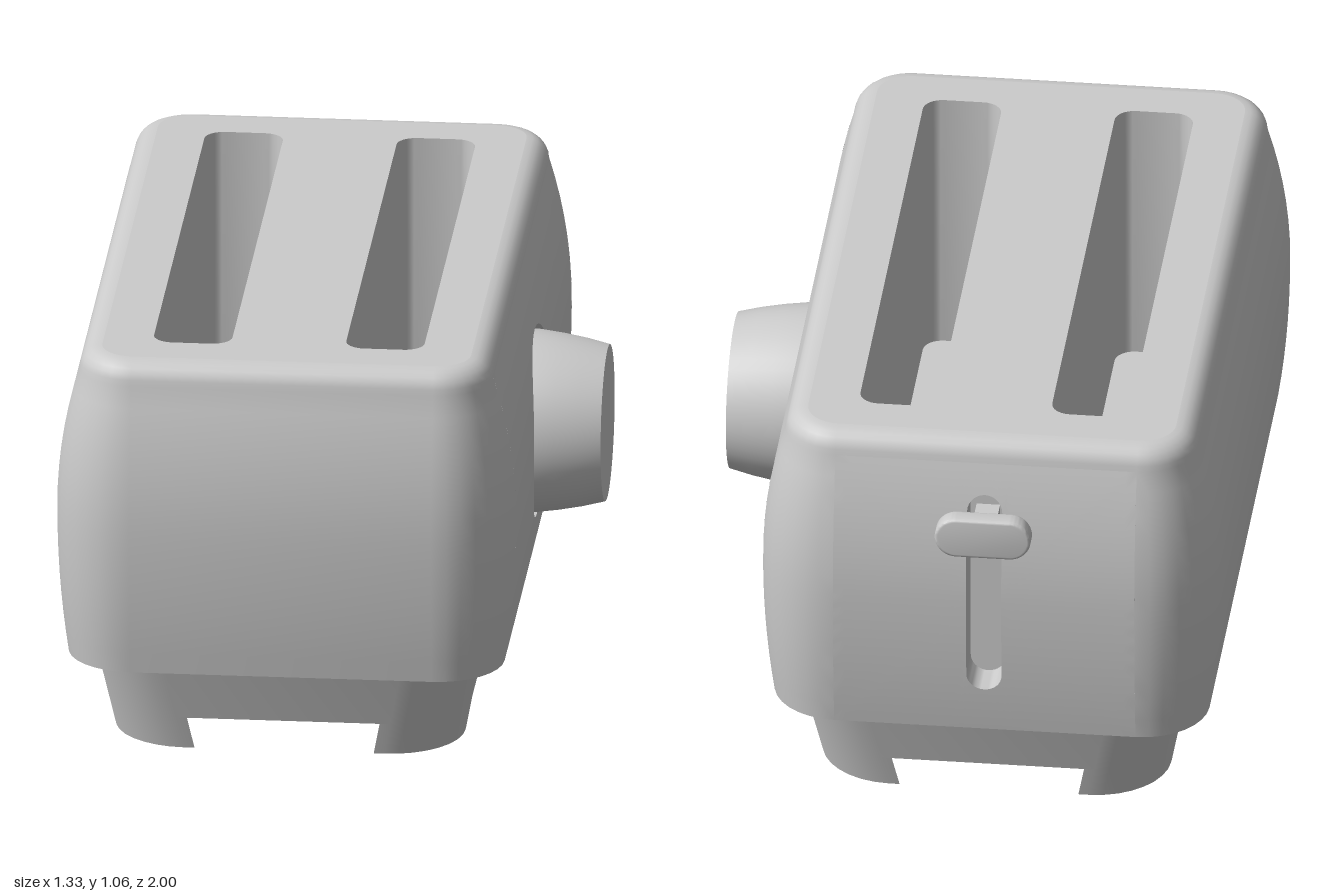
import * as THREE from 'three';
import { mergeGeometries, toCreasedNormals } from 'three/addons/utils/BufferGeometryUtils.js';

const HALF = Math.PI / 2;
const CX = 0.385, CZ = 0.785;          // corner centres of the body
const Y0 = 0.235, Y1 = 1.0, TOP = 1.06; // underside, start of rim, top
const material = new THREE.MeshStandardMaterial({ color: 0xcccccc, side: THREE.DoubleSide });

// Bulge of the body wall around its corner centres
const bulge = (y) => 0.2 - (y < 0.62 ? 0.2 : 0.4) * (y - 0.62) ** 2;

// Grid surface from f(i, j); faces look along di x dj
function surface(ni, nj, f) {
  const pos = [];
  for (let i = 0; i < ni; i++) {
    for (let j = 0; j < nj; j++) {
      const a = f(i, j), b = f(i + 1, j), c = f(i + 1, j + 1), d = f(i, j + 1);
      pos.push(...a, ...b, ...c, ...a, ...c, ...d);
    }
  }
  const g = new THREE.BufferGeometry();
  g.setAttribute('position', new THREE.Float32BufferAttribute(pos, 3));
  return g;
}

// Corners k0..k1 of a rounded rectangle: [centre sign x, z, direction x, z]
function path(k0, k1, extend = 0, steps = 8) {
  const out = [];
  for (let k = k0; k <= k1; k++) {
    const sx = k === 0 || k === 3 ? 1 : -1, sz = k < 2 ? 1 : -1;
    const add = (a, e) => out.push([sx, sz, Math.cos(a) - Math.sin(a) * e, Math.sin(a) + Math.cos(a) * e]);
    if (extend) add(k * HALF, -extend);
    for (let s = 0; s <= steps; s++) add((k + s / steps) * HALF, 0);
    if (extend) add((k + 1) * HALF, extend);
  }
  return out;
}
const closedPath = () => [...path(0, 3), path(0, 0)[0]];
const place = ([sx, sz, nx, nz], { y, cx = CX, cz = CZ, r }) => [sx * cx + nx * r, y, sz * cz + nz * r];
const loft = (pts, rows) => surface(rows.length - 1, pts.length - 1, (i, j) => place(pts[j], rows[i]));

// Rounded rectangle as a flat shape, with optional offset in x
const outline = (row, dx = 0) => path(0, 3).map((p) => {
  const [x, , z] = place(p, row);
  return new THREE.Vector2(x + dx, -z);
});
function plate(row, holes = []) {
  const s = new THREE.Shape(outline(row));
  holes.forEach((h) => s.holes.push(new THREE.Path(h)));
  return new THREE.ShapeGeometry(s).rotateX(-HALF).translate(0, row.y, 0);
}

// Bulged side panel with a round-ended opening and the pocket behind it
function openPanel(half, hole, depth, toWorld) {
  const { u: hu, y: hy, r, l } = hole;
  const angles = [];
  for (let i = 0; i < 96; i++) angles.push((i / 96) * 2 * Math.PI);
  for (let i = 0; i <= 16; i++) {
    const a = (i / 16) * Math.PI, t = Math.atan2(l + r * Math.sin(a), r * Math.cos(a));
    angles.push(t, t + Math.PI);
  }
  for (const u of [-half, half]) {
    for (const y of [Y0, Y1]) angles.push((Math.atan2(y - hy, u - hu) + 2 * Math.PI) % (2 * Math.PI));
  }
  angles.sort((a, b) => a - b);
  angles.push(angles[0] + 2 * Math.PI);
  const rays = angles.map((a) => {
    const c = Math.cos(a), s = Math.sin(a);
    let inner = r / Math.max(Math.abs(c), 1e-9);
    if (inner * Math.abs(s) > l) inner = l * Math.abs(s) + Math.sqrt(Math.max(0, r * r - l * l * c * c));
    const toU = Math.abs(c) < 1e-9 ? Infinity : ((c > 0 ? half : -half) - hu) / c;
    const toY = Math.abs(s) < 1e-9 ? Infinity : ((s > 0 ? Y1 : Y0) - hy) / s;
    return { c, s, inner, outer: Math.min(toU, toY) };
  });
  const point = (ray, t, d) => {
    const y = hy + ray.s * t;
    return toWorld(hu + ray.c * t, y, d ?? bulge(y));
  };
  const n = rays.length - 1;
  const skin = surface(12, n, (i, j) => point(rays[j], THREE.MathUtils.lerp(rays[j].inner, rays[j].outer, i / 12)));
  const wall = surface(1, n, (i, j) => point(rays[j], rays[j].inner, i ? undefined : depth));
  const back = surface(1, n, (i, j) => point(rays[j], i * rays[j].inner, depth));
  return { skin, pocket: mergeGeometries([wall, back]) };
}

function addMesh(parent, name, geometry, crease = 0.6) {
  const mesh = new THREE.Mesh(crease ? toCreasedNormals(geometry, crease) : geometry, material);
  mesh.name = name;
  parent.add(mesh);
  return mesh;
}

export function createModel() {
  const model = new THREE.Group();
  model.name = 'toaster';
  const body = new THREE.Group();
  body.name = 'body';
  body.position.set(-0.083, 0, 0.015);
  model.add(body);

  // Bulging housing: plain walls, two pierced panels and a rounded rim
  const wallRows = [], rimRows = [];
  for (let i = 0; i <= 14; i++) {
    const y = Y0 + ((Y1 - Y0) * i) / 14;
    wallRows.push({ y, r: bulge(y) });
  }
  for (let i = 0; i <= 6; i++) {
    const t = (i / 6) * HALF;
    rimRows.push({ y: Y1 + (TOP - Y1) * Math.sin(t), r: 0.085 + (bulge(Y1) - 0.085) * Math.cos(t) });
  }
  const knobSide = openPanel(CZ, { u: -0.032, y: 0.604, r: 0.246, l: 0 }, 0.13, (u, y, d) => [CX + d, y, -u]);
  const leverSide = openPanel(CX, { u: 0, y: 0.64, r: 0.045, l: 0.235 }, 0.09, (u, y, d) => [-u, y, -CZ - d]);
  addMesh(body, 'housing', mergeGeometries([
    loft(path(0, 2), wallRows), loft(path(3, 3), wallRows),
    loft(closedPath(), rimRows), knobSide.skin, leverSide.skin,
  ]));
  addMesh(body, 'knobRecess', knobSide.pocket);
  addMesh(body, 'leverTrack', leverSide.pocket);

  // Top plate with two bread slots, and the underside
  const slot = { y: TOP, cx: 0.05, cz: 0.71, r: 0.05 };
  const slotFloor = { ...slot, y: 0.35 };
  const slotX = [-0.245, 0.245];
  addMesh(body, 'topPlate', plate({ y: TOP, r: 0.085 }, slotX.map((x) => outline(slot, x))), 0);
  addMesh(body, 'underside', plate({ y: Y0, r: bulge(Y0) }), 0);
  for (const x of slotX) {
    addMesh(body, 'breadSlot', loft(closedPath(), [slot, slotFloor])).position.x = x;
    addMesh(body, 'breadSlotFloor', plate(slotFloor), 0).position.x = x;
  }

  // Tapered skirt with a foot at each corner
  const baseRow = (y) => ({ y, r: 0.19, cx: 0.255 + 0.045 * (y / Y0), cz: 0.67 + 0.065 * (y / Y0) });
  const base = [loft(closedPath(), [baseRow(0.09), baseRow(Y0)])];
  for (let k = 0; k < 4; k++) base.push(loft(path(k, k, 0.14), [baseRow(0), baseRow(0.09)]));
  addMesh(body, 'baseWithFeet', mergeGeometries(base));

  // Tapered dial on the left side
  const profile = [[0.235, 0.43], [0.233, 0.49], [0.225, 0.55], [0.214, 0.61], [0.2, 0.667], [0, 0.667]];
  const knob = new THREE.LatheGeometry(profile.map(([r, h]) => new THREE.Vector2(r, h)), 48);
  addMesh(model, 'knob', knob.rotateZ(-HALF)).position.set(0, 0.604, 0.047);

  // Push-down lever on the back: pill-shaped paddle on a stem
  const lever = new THREE.Group();
  lever.name = 'lever';
  lever.position.set(-0.083, 0.825, 0);
  const pill = new THREE.Shape();
  pill.absarc(0.0675, 0, 0.047, -HALF, HALF);
  pill.absarc(-0.0675, 0, 0.047, HALF, 3 * HALF);
  const paddle = new THREE.ExtrudeGeometry(pill, {
    depth: 0.034, bevelSize: 0.008, bevelThickness: 0.008, bevelSegments: 3, curveSegments: 16,
  });
  addMesh(lever, 'leverPaddle', paddle.translate(0, 0, -0.992));
  addMesh(lever, 'leverStem', new THREE.BoxGeometry(0.06, 0.05, 0.11).translate(0, 0, -0.91));
  model.add(lever);
  return model;
}
